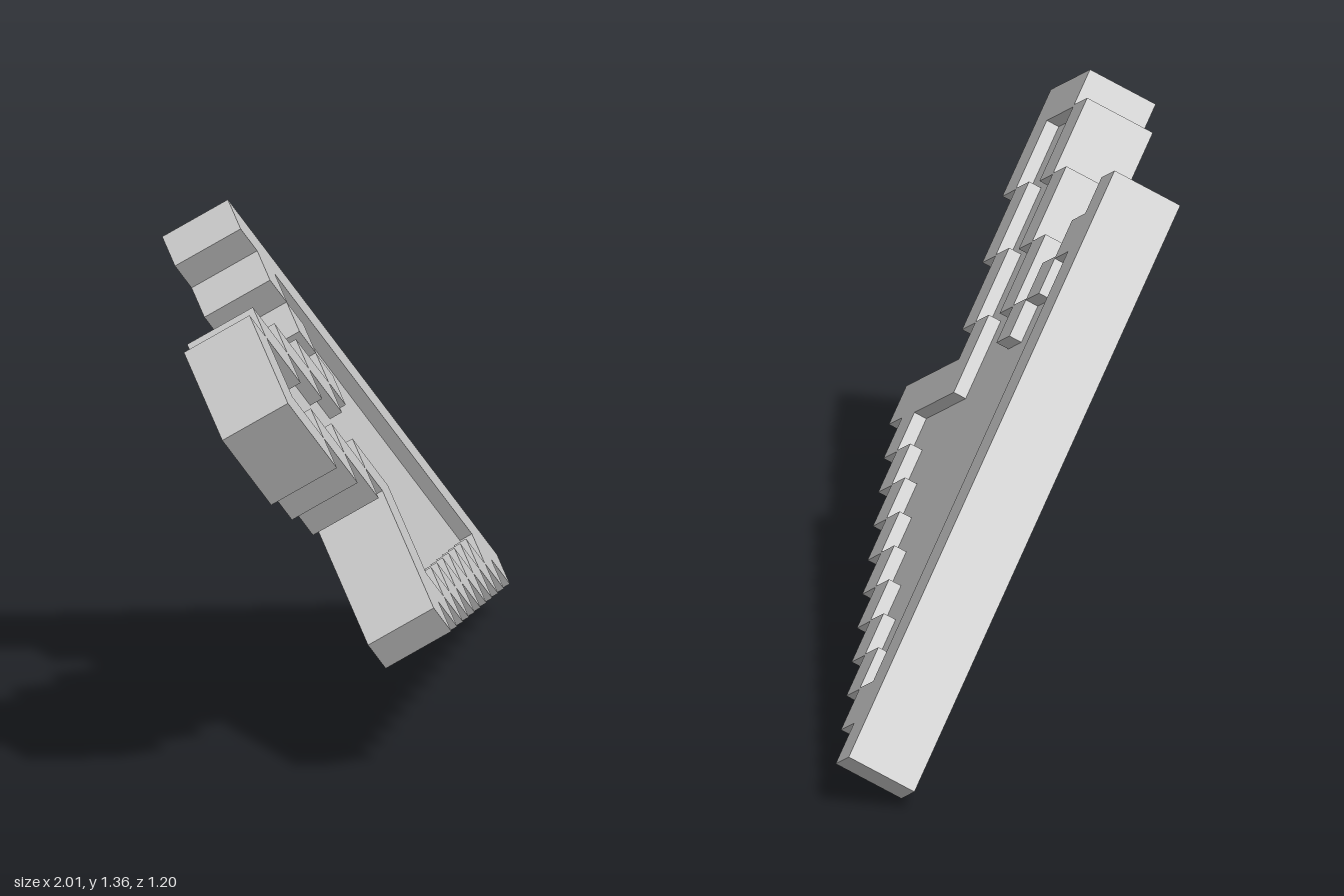
import * as THREE from 'three';

const COL = 0.1075;      // width of one pixel column
const LENGTH = 1.703;    // straight edge, end to end
const STEP = 0.118;      // drop of each stair on the long diagonal
const DEPTH = 0.193;     // rim thickness
const RECESS = 0.035;    // panel inset on each face

// Stepped outline: each run [c, col] goes along c to column col.
function steppedPoints(startCol, runs, inset = 0) {
  const pts = [];
  let col = startCol;
  for (const [c, next] of runs) {
    const x = c + (next > col ? inset : -inset);
    pts.push(new THREE.Vector2(x, -col * COL), new THREE.Vector2(x, -next * COL));
    col = next;
  }
  return pts;
}

// Stairs of the diagonal, from column `from` back to column `to`.
function stairs(from, to, shift) {
  const runs = [];
  for (let i = from; i >= to; i--) runs.push([LENGTH - STEP * (i + shift), i]);
  return runs;
}

function slab(shape, depth, material, name) {
  const geo = new THREE.ExtrudeGeometry(shape, { depth, bevelEnabled: false });
  geo.translate(0, 0, -(DEPTH + depth) / 2);
  const mesh = new THREE.Mesh(geo, material);
  mesh.name = name;
  return mesh;
}

export function createModel() {
  const group = new THREE.Group();
  group.name = 'pixelArrowPointer';
  const material = new THREE.MeshStandardMaterial({ color: 0xcccccc, flatShading: true });

  // Outer silhouette: wing, tail, foot, then the diagonal stairs
  const outer = steppedPoints(0, [
    [0, 1], [0.105, 2], [0.21, 3], [0.313, 4],
    [0.107, 5], [-0.11, 6], [-0.328, 7], [-0.43, 10],
    [-0.12, 9], [0.092, 8], [0.306, 7], [0.411, 11],
    ...stairs(10, 0, 0),
  ]);

  // Inner silhouette, one pixel inside the outer one
  const inner = steppedPoints(1, [
    [0.212, 2], [0.313, 3], [0.418, 4],
    [0.313, 5], [0.107, 6], [-0.11, 7], [-0.325, 9],
    [-0.12, 8], [0.092, 7], [0.306, 6], [0.523, 9],
    ...stairs(8, 1, 1),
  ], 0.004);

  // Raised rim and the thinner panel it frames
  const rimShape = new THREE.Shape(outer);
  rimShape.holes.push(new THREE.Path(inner));
  group.add(slab(rimShape, DEPTH, material, 'rim'));
  group.add(slab(new THREE.Shape(inner), DEPTH - 2 * RECESS, material, 'panel'));

  // Tilt: local x runs down the straight edge, local z is the front normal
  const along = new THREE.Vector3(0.6944, -0.7114, -0.1103).normalize();
  const across = new THREE.Vector3(0.612, 0.5026, 0.611).cross(along).normalize();
  const normal = along.clone().cross(across);
  group.quaternion.setFromRotationMatrix(new THREE.Matrix4().makeBasis(along, across, normal));
  group.position.set(-0.181, 1.364, -0.2915);

  const model = new THREE.Group();
  model.name = 'arrowModel';
  model.add(group);
  return model;
}
